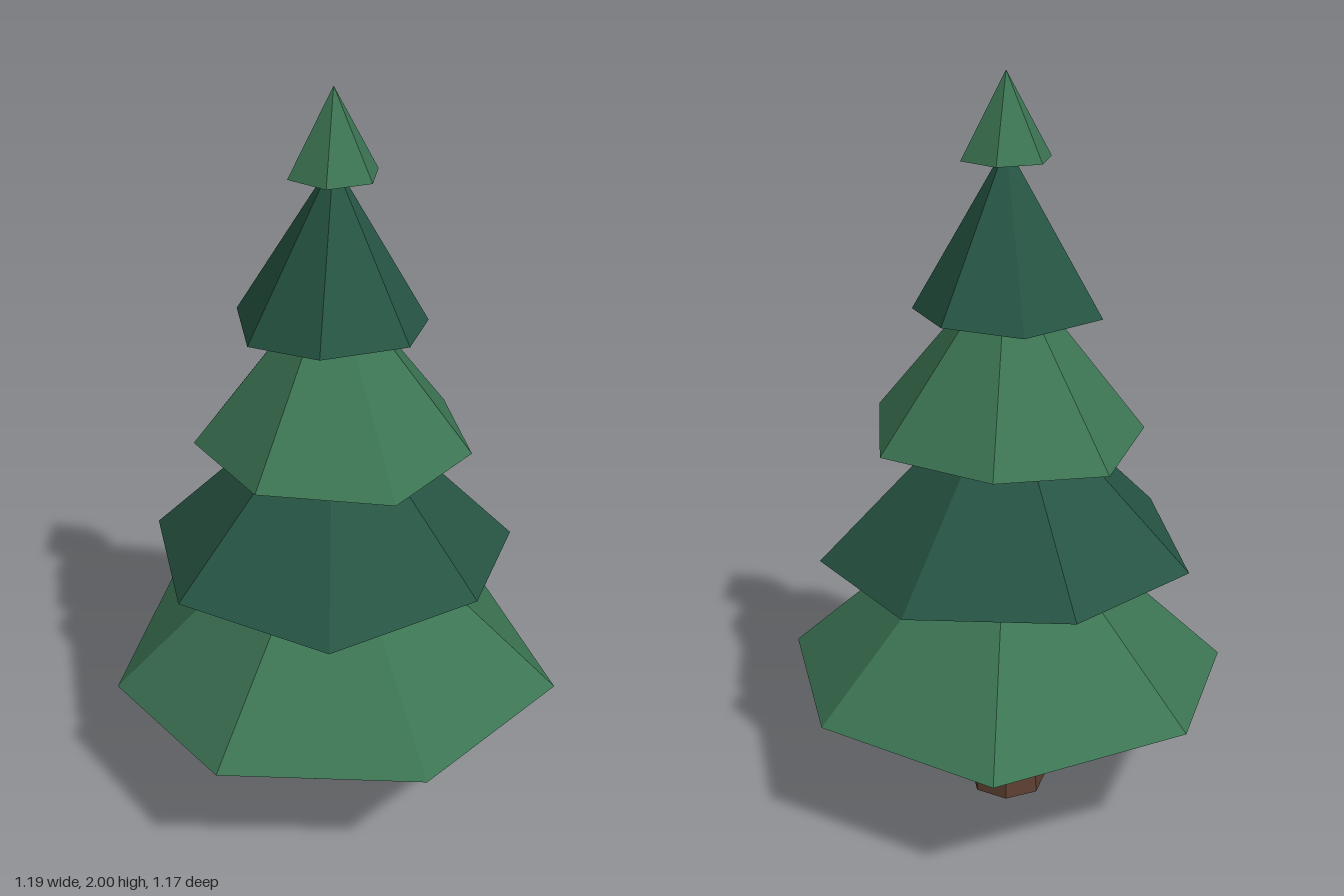
import * as THREE from 'three';

const AXIS_X = 0.013, AXIS_Z = 0.02;

// Irregular rims [x, y, z], running back -> right -> front -> left
const bottomRim = [[0.01, 0.39, -0.59], [0.49, 0.365, -0.36], [0.59, 0.375, 0.15], [0.29, 0.36, 0.585],
  [-0.27, 0.37, 0.55], [-0.6, 0.39, 0.13], [-0.455, 0.355, -0.365]];
const lowerRim = [[-0.18, 0.73, -0.445], [0.25, 0.74, -0.42], [0.49, 0.72, -0.055], [0.395, 0.72, 0.35],
  [0.01, 0.75, 0.495], [-0.38, 0.725, 0.32], [-0.475, 0.75, -0.095]];
const middleRim = [[0.07, 1.06, -0.37], [0.315, 1.07, -0.205], [0.375, 1.07, 0.125], [0.13, 1.09, 0.38],
  [-0.17, 1.065, 0.36], [-0.375, 1.09, 0.085], [-0.24, 1.07, -0.24]];
const upperRim = [[-0.075, 1.4, -0.225], [0.155, 1.39, -0.165], [0.27, 1.41, 0.005], [0.17, 1.4, 0.205],
  [-0.015, 1.41, 0.28], [-0.21, 1.41, 0.155], [-0.225, 1.39, -0.06]];

// Closed faceted cone from an uneven rim up to an apex on the trunk axis
function tierGeometry(rim, apexY) {
  const apex = [AXIS_X, apexY, AXIS_Z];
  const baseY = rim.reduce((sum, p) => sum + p[1], 0) / rim.length;
  const base = [AXIS_X, baseY, AXIS_Z];
  const positions = [];
  rim.forEach((p, i) => {
    const next = rim[(i + 1) % rim.length];
    positions.push(...apex, ...next, ...p); // slope
    positions.push(...base, ...p, ...next); // underside
  });
  const geometry = new THREE.BufferGeometry();
  geometry.setAttribute('position', new THREE.Float32BufferAttribute(positions, 3));
  geometry.computeVertexNormals();
  return geometry;
}

function material(name, color) {
  const m = new THREE.MeshStandardMaterial({ color });
  m.name = name;
  return m;
}

export function createModel() {
  const tree = new THREE.Group();
  tree.name = 'pineTree';
  const lightGreen = material('lightGreen', 0x3c7453);
  const darkGreen = material('darkGreen', 0x265443);
  const bark = material('barkBrown', 0x5f4032);

  const add = (name, geometry, mat) => {
    const mesh = new THREE.Mesh(geometry, mat);
    mesh.name = name;
    tree.add(mesh);
    return mesh;
  };

  // Seven-sided tapered trunk with a flat side to the front
  const trunkGeometry = new THREE.CylinderGeometry(0.08, 0.107, 0.5, 7, 1, false, Math.PI / 7).toNonIndexed();
  trunkGeometry.computeVertexNormals();
  add('trunk', trunkGeometry, bark).position.set(AXIS_X, 0.25, AXIS_Z);

  // Foliage tiers in alternating greens
  add('bottomFoliage', tierGeometry(bottomRim, 0.94), lightGreen);
  add('lowerFoliage', tierGeometry(lowerRim, 1.24), darkGreen);
  add('middleFoliage', tierGeometry(middleRim, 1.54), lightGreen);
  add('upperFoliage', tierGeometry(upperRim, 1.82), darkGreen);

  // Regular six-sided tip
  const tipRim = Array.from({ length: 6 }, (_, i) => {
    const a = i * Math.PI / 3;
    return [AXIS_X + 0.119 * Math.sin(a), 1.785, AXIS_Z - 0.119 * Math.cos(a)];
  });
  add('treeTip', tierGeometry(tipRim, 2), lightGreen);

  return tree;
}
